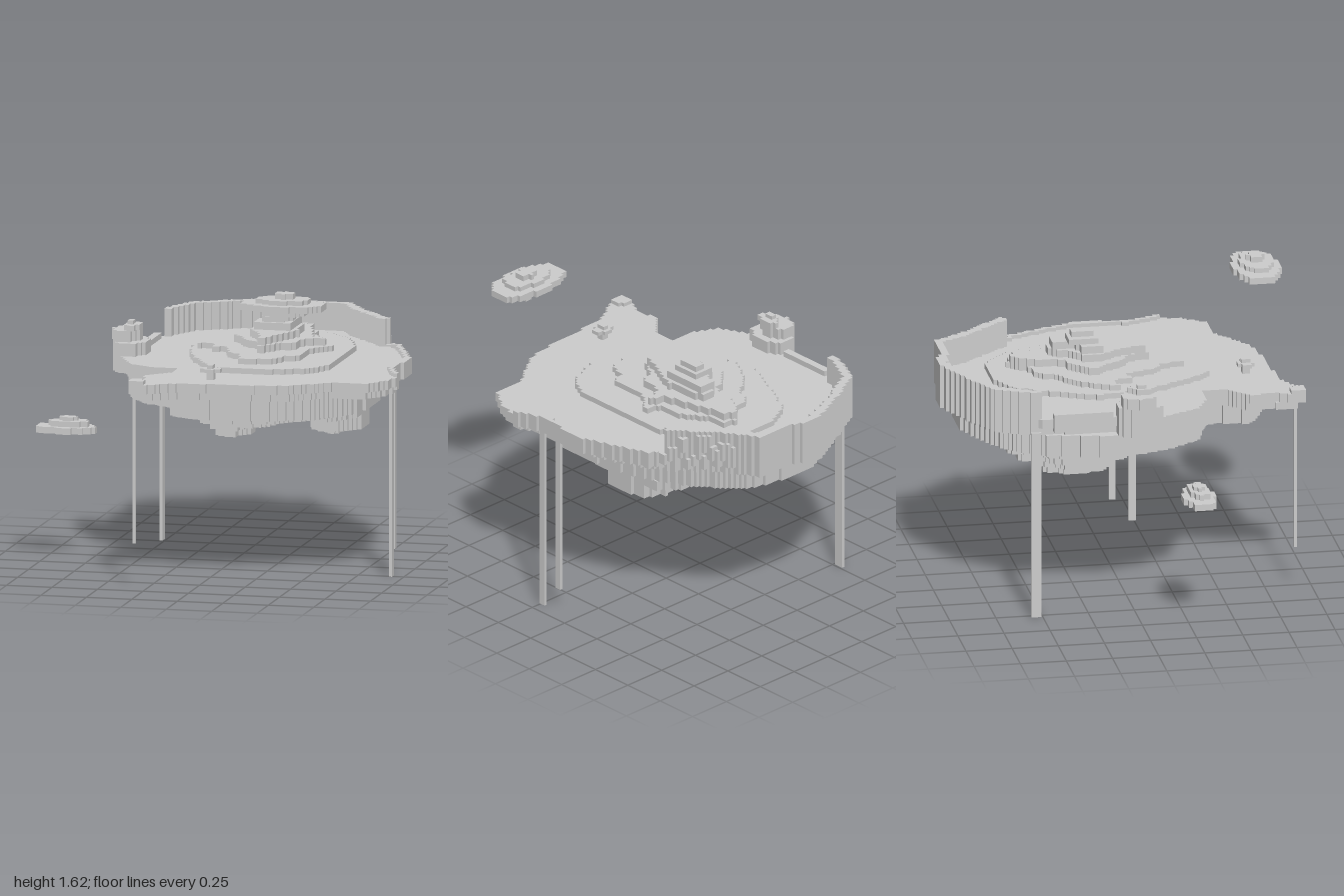
import * as THREE from 'three';

const G = 0.02; // voxel size
const snap = v => Math.round(v / G) * G;

// Turn a loose loop of [x, z] points into a voxel staircase outline
function staircase(pts, smooth) {
  const v = pts.map(p => new THREE.Vector3(p[0], 0, p[1]));
  let dense = [];
  if (smooth) {
    const c = new THREE.CatmullRomCurve3(v, true, 'catmullrom', 0.3);
    dense = c.getSpacedPoints(Math.ceil(c.getLength() / (G * 0.6)));
  } else {
    v.forEach((a, i) => {
      const b = v[(i + 1) % v.length], n = Math.max(1, Math.ceil(a.distanceTo(b) / (G * 0.6)));
      for (let k = 0; k < n; k++) dense.push(a.clone().lerp(b, k / n));
    });
  }
  const out = [];
  const same = (a, b) => a && Math.abs(a[0] - b[0]) < 1e-4 && Math.abs(a[1] - b[1]) < 1e-4;
  const push = p => {
    if (same(out[out.length - 1], p)) return;
    if (same(out[out.length - 2], p)) { out.pop(); return; }
    out.push(p);
  };
  for (const p of dense) {
    const q = [snap(p.x), snap(p.z)], l = out[out.length - 1];
    if (l && !same(l, q) && Math.abs(l[0] - q[0]) > 1e-4 && Math.abs(l[1] - q[1]) > 1e-4) push([q[0], l[1]]);
    push(q);
  }
  while (out.length > 2 && same(out[0], out[out.length - 1])) out.pop();
  return out;
}

// Uneven oval loop
const oval = (cx, cz, rx, rz, n = 16) => Array.from({ length: n }, (_, i) => {
  const a = i / n * Math.PI * 2, w = i % 4 ? 1 + 0.1 * Math.sin(i * 2.4 + cx * 9) : 1;
  return [cx + rx * w * Math.cos(a), cz + rz * w * Math.sin(a)];
});
const scaled = (pts, s, cx, cz) => pts.map(([x, z]) => [cx + (x - cx) * s, cz + (z - cz) * s]);

export function createModel() {
  const model = new THREE.Group();
  const mat = new THREE.MeshStandardMaterial({ color: 0xcccccc, flatShading: true, side: THREE.DoubleSide });

  // One flat terrace: staircase outline extruded from y0 to y1
  function terrace(name, pts, y0, y1, smooth = true, parent = model) {
    const shape = new THREE.Shape(staircase(pts, smooth).map(([x, z]) => new THREE.Vector2(x, -z)));
    const geo = new THREE.ExtrudeGeometry(shape, { depth: y1 - y0, bevelEnabled: false });
    geo.rotateX(-Math.PI / 2).translate(0, y0, 0);
    const m = new THREE.Mesh(geo, mat);
    m.name = name;
    parent.add(m);
  }
  // Stack of oval terraces: [cx, cz, rx, rz, y0, y1]
  function stack(name, rows) {
    const g = new THREE.Group();
    g.name = name;
    rows.forEach(([cx, cz, rx, rz, y0, y1], i) => terrace(name + 'Layer' + (i + 1), oval(cx, cz, rx, rz), y0, y1, true, g));
    model.add(g);
  }
  function box(name, x, z, w, d, y0, y1) {
    const m = new THREE.Mesh(new THREE.BoxGeometry(w, y1 - y0, d), mat);
    m.position.set(x, (y0 + y1) / 2, z);
    m.name = name;
    model.add(m);
  }

  // Island slab, outline in four runs
  const back = [[-0.51, -0.52], [-0.48, -0.6], [-0.41, -0.75], [-0.18, -0.87], [-0.05, -0.93], [0.07, -0.965],
    [0.165, -0.95], [0.2, -0.925], [0.42, -0.925], [0.49, -0.8], [0.62, -0.64], [0.74, -0.5]];
  const right = [[0.81, -0.45], [0.89, -0.25], [0.95, -0.09], [0.95, 0.07], [0.93, 0.22], [1, 0.4]];
  const front = [[0.97, 0.52], [0.89, 0.645], [0.72, 0.64], [0.58, 0.73], [0.5, 0.8], [0.27, 0.84], [0.14, 0.84],
    [-0.1, 0.87], [-0.24, 0.95], [-0.33, 0.95], [-0.34, 0.87], [-0.3, 0.78], [-0.32, 0.67], [-0.21, 0.56],
    [-0.2, 0.42], [-0.34, 0.42], [-0.48, 0.35]];
  const left = [[-0.54, 0.2], [-0.6, 0.12], [-0.62, 0], [-0.54, -0.13], [-0.54, -0.29]];
  const outline = [...back, ...right, ...front, ...left];
  terrace('slabTop', outline, 1.06, 1.11, false);
  terrace('slabBottom', scaled(outline, 0.975, 0.15, -0.1), 1.02, 1.06, false);

  // Raised walls following the edge
  const band = (run, s) => [...run, ...scaled(run, s, 0.15, -0.05).reverse()];
  terrace('backWall', band(back, 0.94), 1.02, 1.26, false);
  terrace('rightRim', band([[0.76, -0.48], ...right], 0.97), 1.04, 1.13, false);
  terrace('leftRim', band([...left.slice(3), [-0.53, -0.46]], 0.95), 1.04, 1.14, false);
  terrace('spitTip', [[-0.26, 0.9], [-0.26, 0.95], [-0.33, 0.95], [-0.34, 0.87]], 1.08, 1.13, false);

  // Rough blocks on the back wall's left flank
  let seed = 7;
  const rand = () => (seed = (seed * 16807) % 2147483647) / 2147483647;
  for (let i = 0; i < 26; i++) {
    const t = i / 25, y0 = snap(1.02 + rand() * 0.12);
    box('roughBlock', snap(0.48 + t * 0.26), snap(-0.8 + t * 0.3), 0.04, 0.04, y0, y0 + 0.04 + snap(rand() * 0.08));
  }

  // Stepped hill in the middle
  terrace('hillBase', [[0.11, -0.66], [0.35, -0.66], [0.52, -0.5], [0.6, -0.26], [0.6, 0.24], [0.54, 0.4], [0.35, 0.49],
    [0.03, 0.49], [-0.1, 0.32], [-0.21, 0.08], [-0.25, -0.16], [-0.15, -0.4], [-0.05, -0.58]], 1.1, 1.14);
  terrace('hillMiddle', [[0.25, -0.55], [0.33, -0.53], [0.35, -0.42], [0.43, -0.3], [0.44, -0.16], [0.52, -0.13], [0.51, -0.09],
    [0.43, 0.0], [0.42, 0.22], [0.35, 0.25], [0.3, 0.35], [0.14, 0.38], [0.1, 0.25], [0.03, 0.2], [-0.02, 0.05], [-0.1, 0.06],
    [-0.11, -0.03], [-0.2, -0.03], [-0.18, -0.1], [-0.1, -0.24], [0.02, -0.33], [0.06, -0.42], [0.18, -0.46]], 1.14, 1.17);
  terrace('hillUpper', [[0.23, -0.53], [0.31, -0.52], [0.33, -0.42], [0.38, -0.24], [0.41, -0.14], [0.5, -0.12], [0.38, -0.07],
    [0.36, 0.06], [0.27, 0.1], [0.2, 0.22], [0.17, 0.1], [0.08, 0.03], [0.03, -0.07], [-0.03, -0.13], [0.06, -0.24],
    [0.14, -0.28], [0.17, -0.42]], 1.17, 1.21);
  terrace('hillShoulder', [[0.22, -0.34], [0.3, -0.33], [0.33, -0.1], [0.27, 0.04], [0.2, 0.19], [0.16, 0.05],
    [0.08, -0.08], [0.08, -0.16], [0.16, -0.24]], 1.21, 1.25);
  terrace('peakBase', [[0.2, -0.33], [0.3, -0.33], [0.3, -0.06], [0.1, -0.06], [0.1, -0.18], [0.2, -0.2]], 1.25, 1.29, false);
  terrace('peakUpper', [[0.14, -0.24], [0.26, -0.24], [0.26, -0.08], [0.14, -0.08]], 1.29, 1.32, false);
  box('peakTip', 0.21, -0.16, 0.06, 0.12, 1.32, 1.35);

  // Round knoll on the right edge, small bush near the front
  stack('knoll', [[-0.55, 0.02, 0.1, 0.12, 1.02, 1.18], [-0.58, 0.01, 0.075, 0.09, 1.18, 1.24],
    [-0.54, 0.03, 0.04, 0.06, 1.24, 1.27]]);
  box('knollTip', -0.55, 0.03, 0.03, 0.05, 1.27, 1.29);
  box('bushTrunk', 0.05, 0.7, 0.04, 0.04, 1.1, 1.15);
  box('bushCrown', 0.05, 0.7, 0.11, 0.05, 1.15, 1.17);
  box('bushCrownSide', 0.05, 0.7, 0.05, 0.09, 1.15, 1.17);
  box('bushTip', 0.05, 0.7, 0.03, 0.05, 1.17, 1.19);

  // Stepped underside
  terrace('underLayer1', [[0.07, -0.87], [0.4, -0.8], [0.62, -0.55], [0.76, -0.25], [0.8, 0.1], [0.77, 0.4], [0.62, 0.6],
    [0.35, 0.74], [0, 0.77], [-0.17, 0.68], [-0.15, 0.45], [-0.38, 0.36], [-0.52, 0.15], [-0.58, -0.1], [-0.52, -0.45],
    [-0.38, -0.66], [-0.15, -0.8]], 0.9, 1.02);
  terrace('underLayer2', [[0.1, -0.76], [0.42, -0.66], [0.64, -0.35], [0.71, 0.05], [0.64, 0.45], [0.38, 0.7], [0.05, 0.75],
    [-0.12, 0.45], [-0.38, 0.25], [-0.5, -0.1], [-0.42, -0.45], [-0.15, -0.68]], 0.88, 0.9);
  terrace('underLayer3', [[0.05, -0.73], [0.24, -0.68], [0.36, -0.52], [0.3, -0.38], [0.38, -0.2], [0.3, 0], [0.38, 0.2],
    [0.34, 0.56], [0.18, 0.63], [0.05, 0.56], [0.02, 0.4], [-0.1, 0.3], [-0.12, 0.16], [-0.26, 0.1], [-0.24, -0.08],
    [-0.32, -0.3], [-0.2, -0.42], [-0.2, -0.62]], 0.84, 0.88);

  // Hanging rock clusters
  stack('largeHangingRock', [[-0.03, -0.26, 0.22, 0.36, 0.79, 0.84], [-0.03, -0.24, 0.18, 0.31, 0.74, 0.79],
    [-0.04, -0.24, 0.13, 0.22, 0.7, 0.74], [-0.045, -0.24, 0.095, 0.18, 0.66, 0.7]]);
  stack('smallHangingRock', [[0.56, -0.1, 0.14, 0.36, 0.82, 0.88], [0.56, -0.12, 0.14, 0.21, 0.74, 0.82],
    [0.53, -0.12, 0.09, 0.12, 0.72, 0.74], [0.525, -0.12, 0.035, 0.06, 0.7, 0.72]]);
  stack('rearHangingRock', [[0.31, -0.45, 0.07, 0.09, 0.81, 0.86]]);

  // Thin waterfalls dropping from the edge: x, z, width, depth, bottom, top
  [[0.93, 0.24, 0.016, 0.04, 0, 1.1], [0.917, 0.13, 0.016, 0.034, 0.13, 1.1],
    [-0.52, -0.535, 0.016, 0.055, 0, 1.04], [-0.32, 0.905, 0.016, 0.016, 0.24, 1.08]]
    .forEach((f, i) => box('waterfall' + (i + 1), ...f));

  // Floating clouds
  stack('highCloud', [[0.48, 0.83, 0.225, 0.135, 1.53, 1.565], [0.48, 0.83, 0.14, 0.09, 1.565, 1.59],
    [0.49, 0.83, 0.05, 0.045, 1.59, 1.62], [0.49, 0.83, 0.11, 0.08, 1.5, 1.53], [0.51, 0.83, 0.035, 0.05, 1.475, 1.5]]);
  stack('lowCloud', [[-0.845, 0.29, 0.155, 0.09, 0.715, 0.75], [-0.83, 0.29, 0.1, 0.06, 0.75, 0.78],
    [-0.83, 0.29, 0.04, 0.03, 0.78, 0.8]]);

  return model;
}
